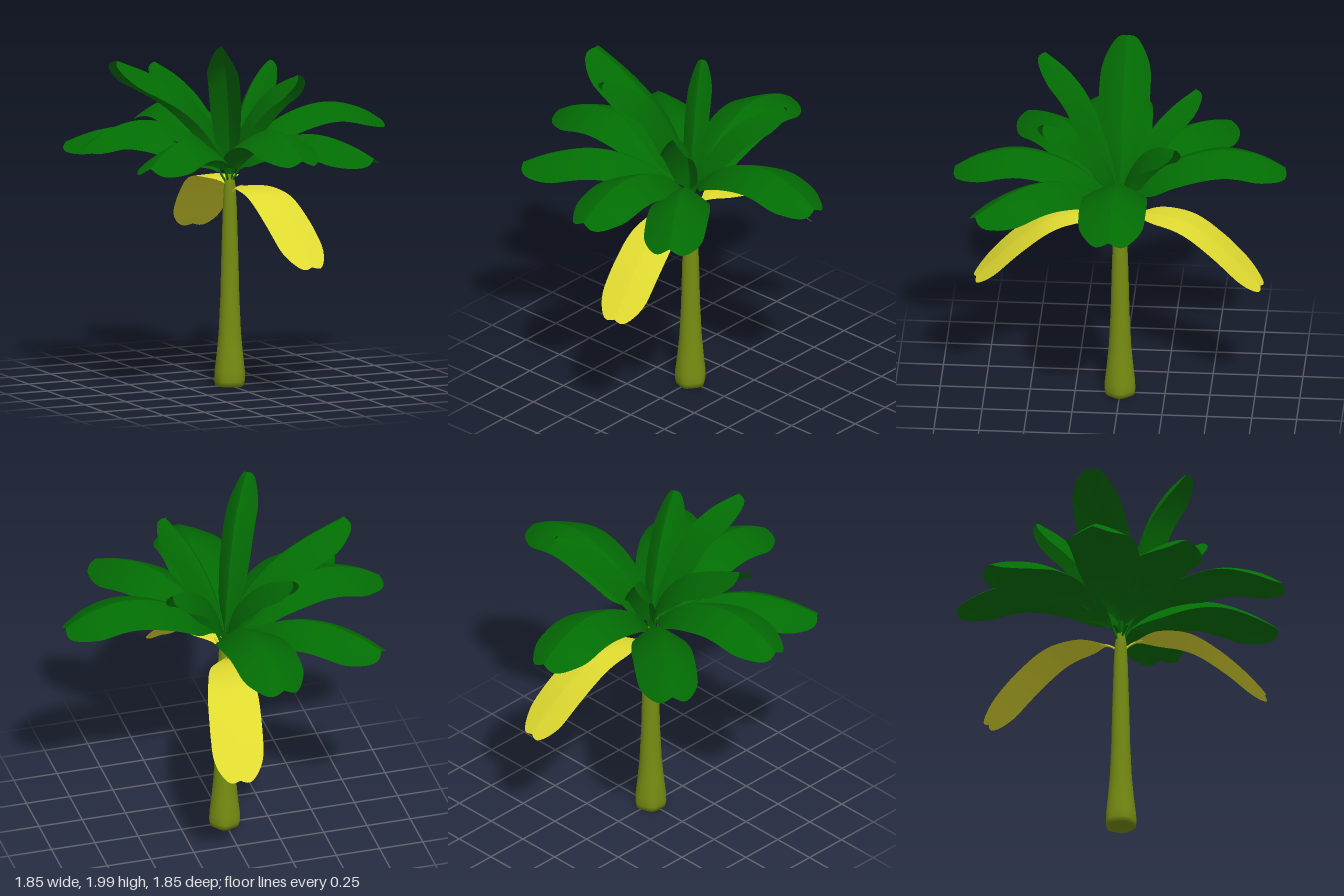
import * as THREE from 'three';

const GREEN = 0x036c04, YELLOW = 0xdfda30, BARK = 0x768c12;

// Midrib profiles as [distance from trunk, height]
const ARCHED = [[0.01, 1.15], [0.05, 1.25], [0.2, 1.41], [0.4, 1.51], [0.6, 1.54], [0.8, 1.49], [0.935, 1.41]];
const LOW = [[0.01, 1.14], [0.08, 1.25], [0.2, 1.35], [0.4, 1.44], [0.58, 1.46], [0.78, 1.42], [0.95, 1.35]];
const WILTED = [[0.01, 1.07], [0.05, 1.11], [0.12, 1.14], [0.23, 1.15], [0.39, 1.12], [0.57, 1.0], [0.815, 0.765]];

// Blade half-width along its length, as a share of the maximum
const OUTLINE = new THREE.SplineCurve(
  [0.08, 0.68, 0.87, 0.97, 1, 1, 0.96, 0.84].map((w, i) => new THREE.Vector2(i / 7, w)));

function material(color) {
  return new THREE.MeshStandardMaterial({ color, side: THREE.DoubleSide });
}

// One folded half of a blade; side is 1 or -1
function halfBlade(curve, across, halfWidth, sag, side) {
  const NU = 28, NV = 10, start = 0.09;
  const pos = [], index = [];
  for (let i = 0; i <= NU; i++) {
    for (let j = 0; j <= NV; j++) {
      const v = Math.sin((j / NV) * Math.PI / 2);
      // Rounded lobe with a small notch at the midrib
      const q = Math.max(0, (v - 0.3) / 0.7);
      const end = 1 - 0.02 * Math.pow(1 - v, 4) - 0.22 * (1 - Math.sqrt(Math.max(0, 1 - q * q)));
      const t = (i / NU) * end;
      const s = start + (1 - start) * t;
      const p = curve.getPointAt(s);
      const up = new THREE.Vector3().crossVectors(curve.getTangentAt(s), across).normalize();
      const w = OUTLINE.getPoint(t).y;
      p.addScaledVector(across, side * v * w * halfWidth);
      p.addScaledVector(up, -sag * w * Math.pow(v, 1.22));
      pos.push(p.x, p.y, p.z);
    }
  }
  for (let i = 0; i < NU; i++) {
    for (let j = 0; j < NV; j++) {
      const a = i * (NV + 1) + j, b = a + NV + 1;
      if (side > 0) index.push(a, b, a + 1, b, b + 1, a + 1);
      else index.push(a, a + 1, b, b, a + 1, b + 1);
    }
  }
  const g = new THREE.BufferGeometry();
  g.setAttribute('position', new THREE.Float32BufferAttribute(pos, 3));
  g.setIndex(index);
  g.computeVertexNormals();
  return g;
}

// Leaf pointing towards (dx, dz): two blade halves and a stalk
function leaf(name, profile, dx, dz, halfWidth, sag, color) {
  const group = new THREE.Group();
  group.name = name;
  const len = Math.hypot(dx, dz);
  const x = dx / len, z = dz / len;
  const curve = new THREE.CatmullRomCurve3(
    profile.map(([r, y]) => new THREE.Vector3(r * x, y, r * z)));
  // Sideways direction, so that tangent x across points upwards
  const across = new THREE.Vector3(z, 0, -x);
  const mat = material(color);
  for (const side of [1, -1]) {
    const blade = new THREE.Mesh(halfBlade(curve, across, halfWidth, sag, side), mat);
    blade.name = side > 0 ? 'bladeHalfA' : 'bladeHalfB';
    group.add(blade);
  }
  const stalkPath = new THREE.CatmullRomCurve3(
    [0, 0.05, 0.1, 0.14].map((s) => curve.getPointAt(s)));
  const stalk = new THREE.Mesh(new THREE.TubeGeometry(stalkPath, 10, 0.006, 6), mat);
  stalk.name = 'stalk';
  group.add(stalk);
  return group;
}

// Tapering trunk whose foot swells into soft lobes
function trunk() {
  const profile = [[0.001, 0.03], [0.05, 0.015], [0.079, 0.0], [0.085, 0.03], [0.084, 0.08], [0.073, 0.18],
    [0.062, 0.3], [0.053, 0.5], [0.047, 0.75], [0.039, 1.0], [0.033, 1.12], [0.022, 1.18], [0.001, 1.2]];
  const g = new THREE.LatheGeometry(profile.map(([r, y]) => new THREE.Vector2(r, y)), 40);
  const p = g.attributes.position;
  for (let i = 0; i < p.count; i++) {
    const px = p.getX(i), pz = p.getZ(i), y = p.getY(i);
    const k = 1 + 0.05 * Math.exp(-y / 0.08) * Math.cos(5 * Math.atan2(pz, px));
    p.setX(i, px * k);
    p.setZ(i, pz * k);
  }
  g.computeVertexNormals();
  const mesh = new THREE.Mesh(g, material(BARK));
  mesh.name = 'trunk';
  return mesh;
}

export function createModel() {
  const model = new THREE.Group();
  model.name = 'bananaPalm';
  model.add(trunk());

  // Broad arching leaves, then lower leaves on the diagonals: direction, lift
  const arched = [[0.92, 0.0, 0.015], [-0.92, 0.07, 0], [-0.08, -0.93, -0.015], [0.02, 0.93, -0.02]];
  const low = [[-0.75, -0.57, -0.02], [-0.75, 0.57, 0], [0.54, 0.79, 0]];
  for (const [dx, dz, lift] of arched) {
    const a = leaf('archedLeaf', ARCHED, dx, dz, 0.185, 0.085, GREEN);
    a.position.y = lift;
    model.add(a);
  }
  for (const [dx, dz, lift] of low) {
    const l = leaf('lowLeaf', LOW, dx, dz, 0.17, 0.105, GREEN);
    l.position.y = lift;
    model.add(l);
  }

  // Young upright leaves in the crown
  const upright = [
    [-0.7, 0.01, 0.142, 0.11, [[0.0, 1.15], [0.03, 1.3], [0.1, 1.46], [0.25, 1.64], [0.45, 1.77], [0.71, 1.885]]],
    [-0.27, 0.46, 0.088, 0.12, [[0.0, 1.15], [0.02, 1.3], [0.06, 1.47], [0.14, 1.67], [0.23, 1.82], [0.36, 1.93], [0.52, 2.0]]],
    [-0.28, -0.41, 0.068, 0.11, [[0.0, 1.15], [0.03, 1.3], [0.08, 1.44], [0.2, 1.6], [0.34, 1.71], [0.5, 1.785]]],
    [0.41, -0.34, 0.073, 0.11, [[0.0, 1.15], [0.03, 1.3], [0.1, 1.45], [0.24, 1.62], [0.4, 1.72], [0.53, 1.76]]],
    [0.24, 0.43, 0.085, 0.11, [[0.0, 1.15], [0.02, 1.28], [0.06, 1.42], [0.17, 1.59], [0.3, 1.71], [0.48, 1.8]]],
  ];
  for (const [dx, dz, w, sag, profile] of upright)
    model.add(leaf('uprightLeaf', profile, dx, dz, w, sag, GREEN));

  // Wilted yellow leaves, front and back
  for (const s of [1, -1])
    model.add(leaf('wiltedLeaf', WILTED, 0.14, 0.8 * s, 0.145, 0.01, YELLOW));

  return model;
}
